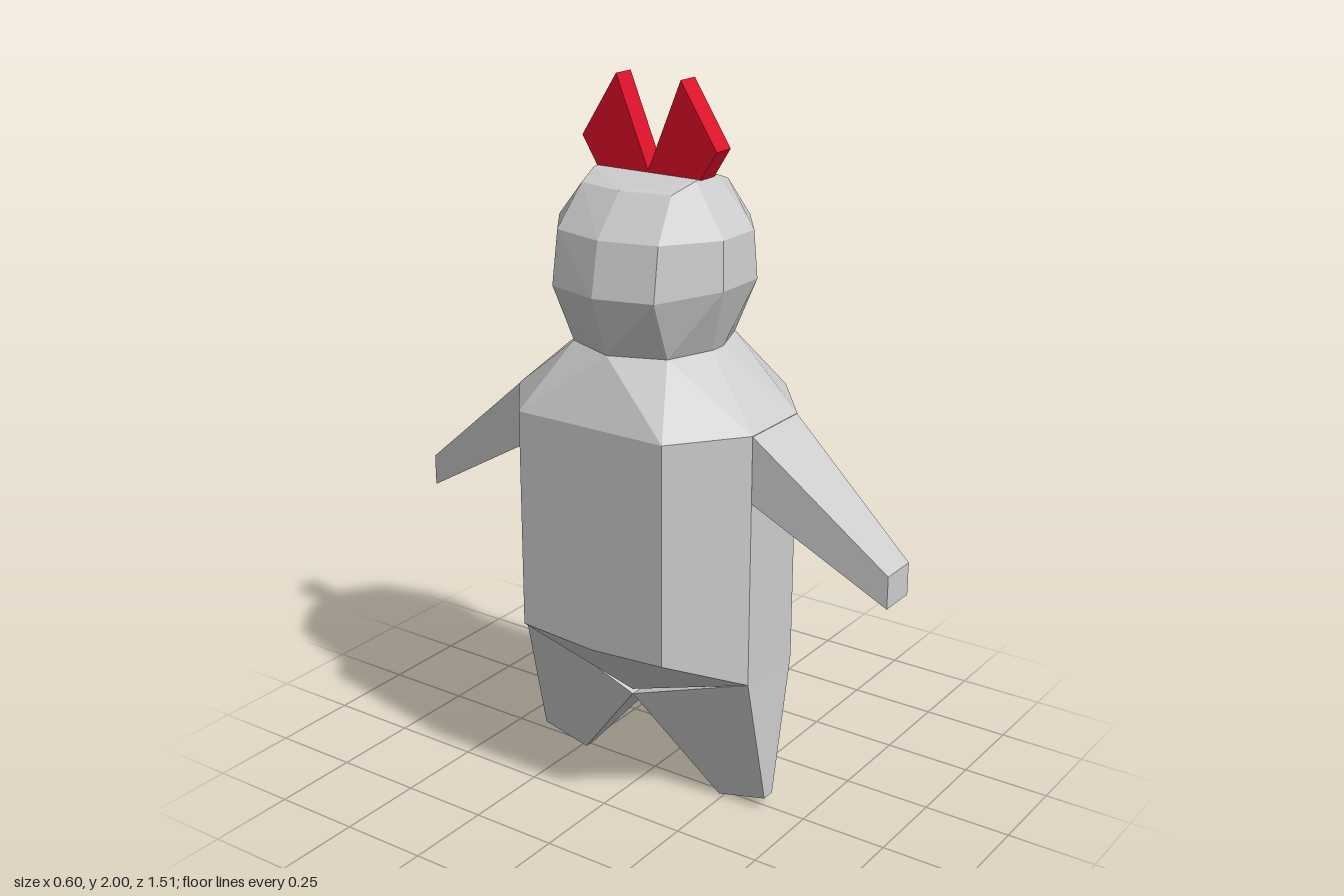
import * as THREE from 'three';
import { ConvexGeometry } from 'three/addons/geometries/ConvexGeometry.js';

// Points repeated on both sides: [x, y, z] -> (+-x, y, +-z)
function mirrored(list, mx = true, mz = true) {
  const out = [];
  for (const [x, y, z] of list)
    for (const sx of mx && x !== 0 ? [1, -1] : [1])
      for (const sz of mz && z !== 0 ? [1, -1] : [1])
        out.push(new THREE.Vector3(x * sx, y, z * sz));
  return out;
}

export function createModel() {
  const group = new THREE.Group();
  const material = (name, color) => {
    const m = new THREE.MeshStandardMaterial({ color });
    m.name = name;
    return m;
  };
  const grey = material('grey', 0xcccccc);
  const red = material('red', 0xdd1029);
  const black = material('black', 0x050505);
  const add = (name, geometry, mat) => {
    const mesh = new THREE.Mesh(geometry, mat);
    mesh.name = name;
    group.add(mesh);
    return mesh;
  };

  // Faceted torso: sloped shoulders, eight walls, pointed underside
  const torso = mirrored([
    [0.22, 1.31, 0], [0.16, 1.31, 0.15], [0.025, 1.31, 0.2],
    [0.3, 1.135, 0.23], [0.11, 1.135, 0.38],
    [0.3, 0.515, 0.23], [0.11, 0.425, 0.38],
  ]);
  torso.push(
    new THREE.Vector3(0.3, 0.44, 0), new THREE.Vector3(0.11, 0.28, 0),
    new THREE.Vector3(-0.3, 0.5, 0), new THREE.Vector3(-0.11, 0.3, 0));
  add('torso', new ConvexGeometry(torso), grey);

  // Head: rings of ten with a slightly ridged crown
  add('head', new ConvexGeometry(mirrored([
    [0.22, 1.31, 0], [0.16, 1.31, 0.15], [0.025, 1.31, 0.2],
    [0.28, 1.475, 0], [0.235, 1.475, 0.16], [0.08, 1.49, 0.267],
    [0.253, 1.62, 0], [0.213, 1.62, 0.158], [0.072, 1.62, 0.26],
    [0.16, 1.73, 0], [0.13, 1.73, 0.14], [0.05, 1.755, 0.16],
  ])), grey);

  // Arms and legs on both sides
  for (const s of [1, -1]) {
    const side = s > 0 ? 'front' : 'back';
    const limb = (name, pts) => add(side + name,
      new ConvexGeometry(mirrored(pts.map(([x, y, z]) => [x, y, z * s]), true, false)), grey);
    limb('Arm', [
      [0.11, 1.135, 0.378], [0.11, 0.95, 0.378],
      [0.055, 0.82, 0.755], [0.055, 0.73, 0.755],
    ]);
    limb('Leg', [
      [0.11, 0.425, 0.38], [0.11, 0.285, 0],
      [0.02, 0.035, 0.385], [0.02, 0, 0.235],
    ]);
  }

  // Comb: two spikes in one flat plate
  const comb = new THREE.Shape([
    [0, 1.75], [0.16, 1.75], [0.21, 1.83], [0.1, 2], [0, 1.76],
    [-0.1, 2], [-0.21, 1.83], [-0.16, 1.75],
  ].map(([z, y]) => new THREE.Vector2(z, y)));
  const combGeo = new THREE.ExtrudeGeometry(comb, { depth: 0.064, bevelEnabled: false });
  combGeo.translate(0, 0, -0.032).rotateY(Math.PI / 2);
  add('comb', combGeo, red);

  // Mouth: thin band bent around the face
  const mouth = new THREE.Shape([
    [0.24, 0.163], [0.288, 0], [0.24, -0.163], [0.232, -0.16], [0.278, 0], [0.232, 0.16],
  ].map(([x, z]) => new THREE.Vector2(x, z)));
  const mouthGeo = new THREE.ExtrudeGeometry(mouth, { depth: 0.018, bevelEnabled: false });
  mouthGeo.rotateX(Math.PI / 2).translate(0, 1.484, 0);
  add('mouth', mouthGeo, black);

  return group;
}
